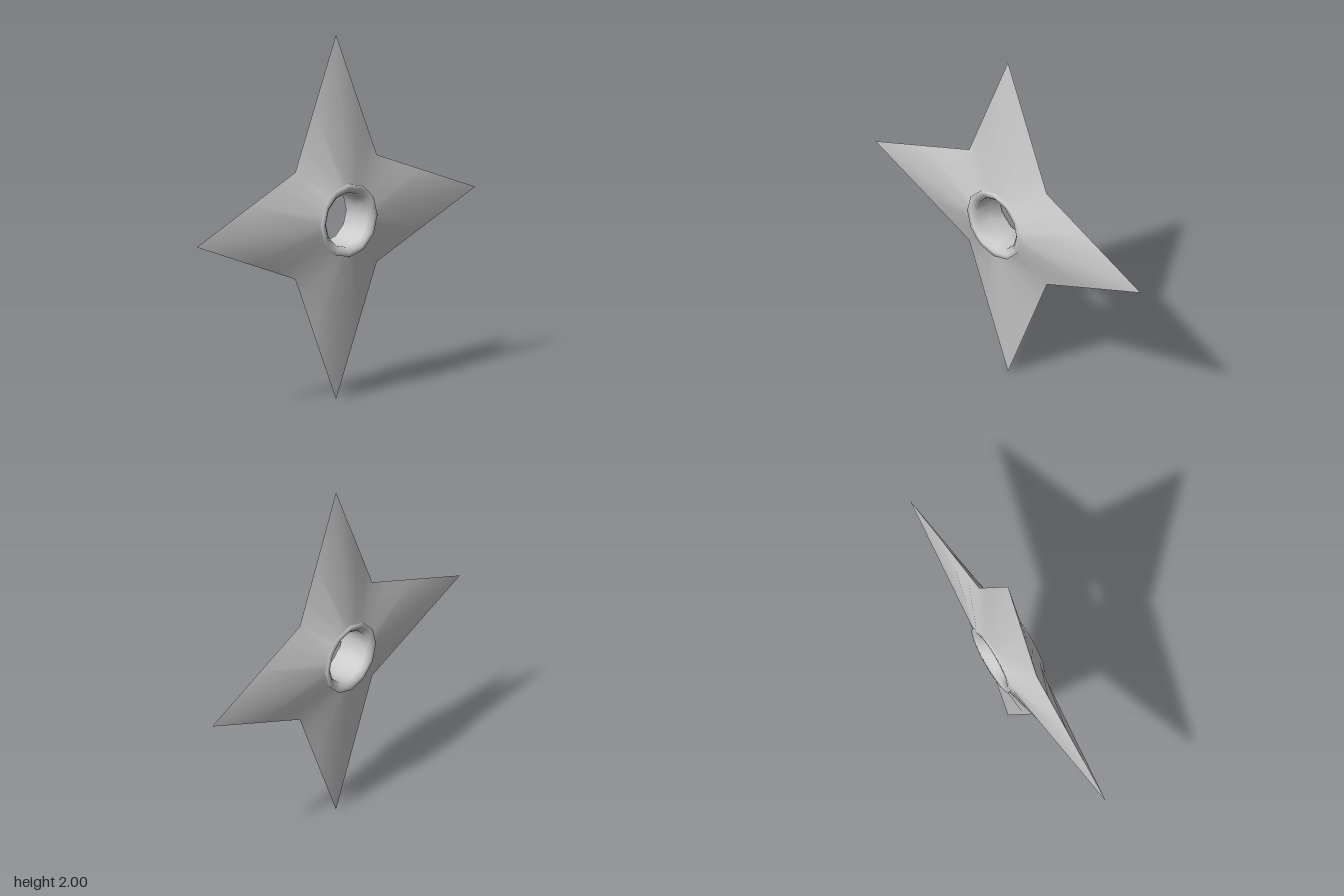
import * as THREE from 'three';

const SECTORS = 24;
const TIP = 1, NOTCH = 0.293;

// Radius of a twelve-sided ring: odd sectors lie in the middle of a side
const ringRadius = (r, i) => (i % 2 ? r * Math.cos(Math.PI / 12) : r);

// Distance from the centre to the four-pointed outline
function starRadius(a) {
  const q = Math.PI / 2;
  const b = Math.abs(a - Math.round(a / q) * q);
  const slope = NOTCH / (TIP - NOTCH);
  return (slope * TIP) / (Math.sin(b) + slope * Math.cos(b));
}

// Half of the blade: hole wall, bevelled rim, small step, slopes to the edge
function halfGeometry() {
  const profile = [[0.15, 0], [0.15, 0.085], [0.175, 0.108], [0.2, 0.108], [0.2, 0.094]];
  const rings = profile.length + 1;
  const positions = [], index = [];
  for (let k = 0; k < rings; k++) {
    for (let i = 0; i < SECTORS; i++) {
      const a = (i / SECTORS) * Math.PI * 2;
      const edge = k === rings - 1;
      const r = edge ? starRadius(a) : ringRadius(profile[k][0], i);
      positions.push(r * Math.cos(a), r * Math.sin(a), edge ? 0 : profile[k][1]);
    }
  }
  for (let k = 0; k < rings - 1; k++) {
    for (let i = 0; i < SECTORS; i++) {
      const j = (i + 1) % SECTORS;
      const a = k * SECTORS + i, b = k * SECTORS + j;
      const c = a + SECTORS, d = b + SECTORS;
      // Diagonals mirror about each point so the ridges stay straight
      if (i % 6 < 3) index.push(a, c, d, a, d, b);
      else index.push(a, c, b, c, d, b);
    }
  }
  const geometry = new THREE.BufferGeometry();
  geometry.setAttribute('position', new THREE.Float32BufferAttribute(positions, 3));
  geometry.setIndex(index);
  geometry.computeVertexNormals();
  return geometry;
}

export function createModel() {
  const group = new THREE.Group();
  group.name = 'throwingStar';
  const material = new THREE.MeshStandardMaterial({ color: 0xcccccc });
  const geometry = halfGeometry();

  // Front and back halves meet in a sharp edge
  ['frontHalf', 'backHalf'].forEach((name, n) => {
    const half = new THREE.Mesh(geometry, material);
    half.name = name;
    half.position.y = 1;
    half.rotation.y = n * Math.PI;
    group.add(half);
  });
  return group;
}
